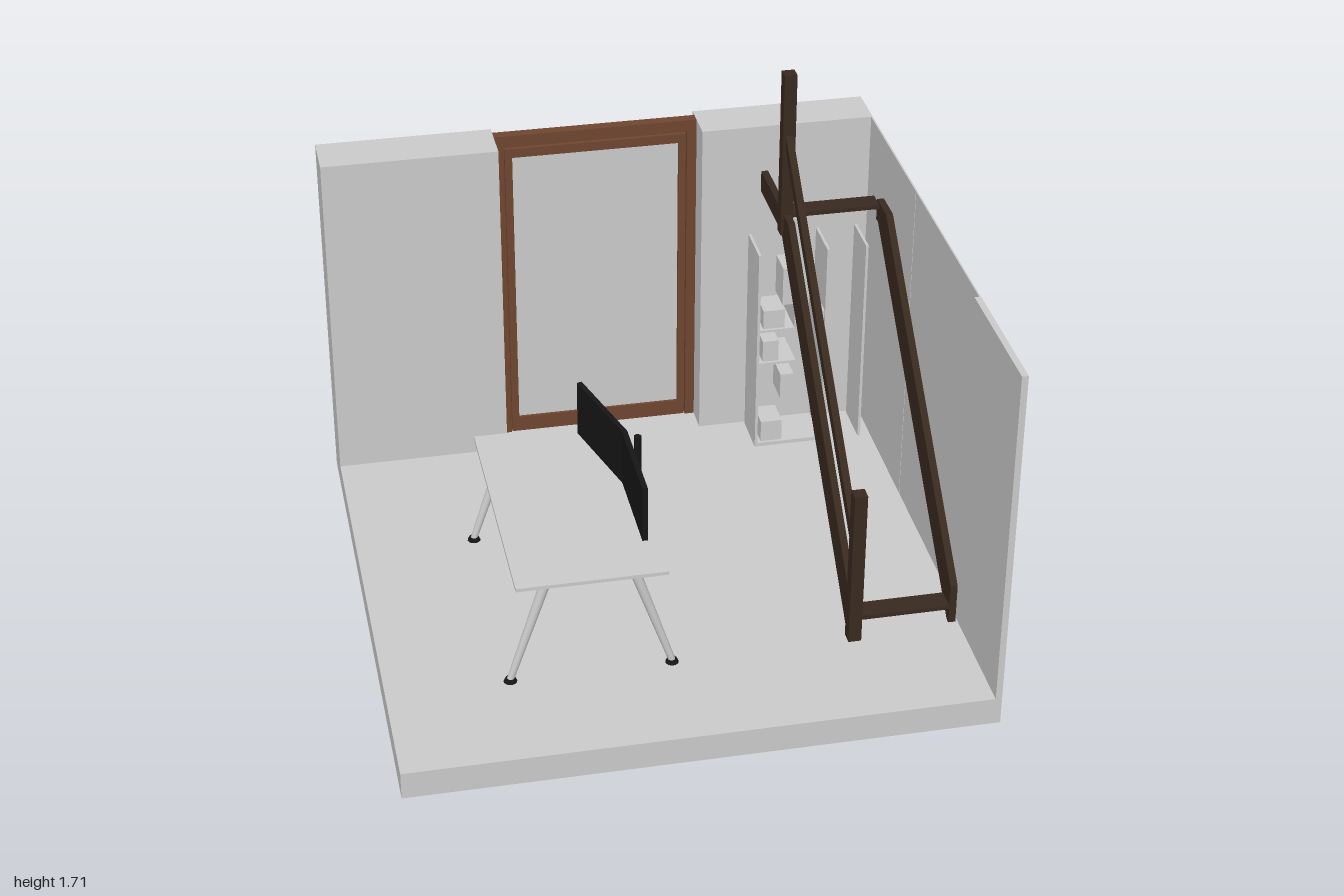
import * as THREE from 'three';

const mat = (color) => new THREE.MeshStandardMaterial({ color });

export function createModel() {
  const root = new THREE.Group();
  const grey = mat(0xcccccc), doorWood = mat(0x6f4630), darkWood = mat(0x38291f), black = mat(0x161616);

  const add = (parent, name, geometry, material) => {
    const mesh = new THREE.Mesh(geometry, material);
    mesh.name = name;
    parent.add(mesh);
    return mesh;
  };
  const group = (name) => {
    const g = new THREE.Group();
    g.name = name;
    root.add(g);
    return g;
  };
  // Box given by its limits on each axis
  const box = (parent, name, material, [x0, x1], [y0, y1], [z0, z1]) => {
    const mesh = add(parent, name, new THREE.BoxGeometry(x1 - x0, y1 - y0, z1 - z0), material);
    mesh.position.set((x0 + x1) / 2, (y0 + y1) / 2, (z0 + z1) / 2);
    return mesh;
  };
  // Side profile of [z, y] points, extruded from x0 to x1
  const sidePlate = (parent, name, material, points, x0, x1) => {
    const shape = new THREE.Shape(points.map(([z, y]) => new THREE.Vector2(z, y)));
    const geometry = new THREE.ExtrudeGeometry(shape, { depth: x1 - x0, bevelEnabled: false });
    geometry.rotateY(-Math.PI / 2).translate(x1, 0, 0);
    return add(parent, name, geometry, material);
  };
  // Tapered round bar between two points
  const bar = (parent, name, material, from, to, r0, r1) => {
    const a = new THREE.Vector3(...from), b = new THREE.Vector3(...to);
    const mesh = add(parent, name, new THREE.CylinderGeometry(r1, r0, a.distanceTo(b), 16), material);
    mesh.position.copy(a).add(b).multiplyScalar(0.5);
    mesh.quaternion.setFromUnitVectors(new THREE.Vector3(0, 1, 0), b.sub(a).normalize());
    return mesh;
  };

  // Room shell
  const room = group('room');
  box(room, 'floor', grey, [-1, 1], [0, 0.1], [-1, 1]);
  box(room, 'backWallRight', grey, [-1, -0.37], [0.1, 1.35], [-1, -0.82]);
  box(room, 'backWallLeft', grey, [0.37, 1], [0.1, 1.35], [-1, -0.83]);
  box(room, 'sideWallFront', grey, [0.978, 1], [0.1, 1.35], [0.5, 1]);
  box(room, 'sideWallMiddle', grey, [0.994, 0.999], [0.1, 1.35], [-0.238, 0.5]);
  box(room, 'sideWallBack', grey, [0.994, 1], [0.1, 1.35], [-1, -0.242]);

  // Door: outer jamb, inner leaf frame and panel
  const door = group('door');
  for (const s of [-1, 1]) {
    const span = (a, b) => (s > 0 ? [a, b] : [-b, -a]);
    box(door, 'jamb', doorWood, span(0.335, 0.37), [0.1, 1.35], [-0.97, -0.93]);
    box(door, 'leafStile', doorWood, span(0.305, 0.332), [0.1, 1.295], [-0.965, -0.935]);
  }
  box(door, 'doorHead', doorWood, [-0.335, 0.335], [1.305, 1.35], [-0.97, -0.93]);
  box(door, 'leafTopRail', doorWood, [-0.305, 0.305], [1.26, 1.295], [-0.965, -0.935]);
  box(door, 'leafBottomRail', doorWood, [-0.305, 0.305], [0.1, 0.16], [-0.965, -0.935]);
  box(door, 'doorPanel', grey, [-0.305, 0.305], [0.16, 1.26], [-0.954, -0.946]);

  // Staircase along the side wall
  const stairs = group('staircase');
  const stringer = (backEnd) => [
    [0.54, 0.1], [0.56, 0.1], [0.56, 0.25], [-0.42, 1.17],
    [backEnd, 1.17], [backEnd, 1.09], [-0.515, 1.09],
  ];
  sidePlate(stairs, 'outerStringer', darkWood, stringer(-0.83), 0.59, 0.615);
  sidePlate(stairs, 'wallStringer', darkWood, stringer(-0.54), 0.945, 0.97);
  box(stairs, 'bottomTread', darkWood, [0.615, 0.945], [0.155, 0.17], [0.48, 0.56]);
  box(stairs, 'topTread', darkWood, [0.615, 0.945], [1.148, 1.163], [-0.58, -0.505]);
  box(stairs, 'frontPost', darkWood, [0.58, 0.625], [0.1, 0.69], [0.555, 0.602]);
  box(stairs, 'backPost', darkWood, [0.58, 0.625], [1.09, 1.71], [-0.533, -0.486]);
  sidePlate(stairs, 'handrail', darkWood,
    [[0.56, 0.44], [0.56, 0.5], [-0.49, 1.485], [-0.49, 1.43]], 0.59, 0.615);

  // Shelf unit beneath the stairs, with its contents
  const shelf = group('shelfUnit');
  const depth = [-0.82, -0.65];
  for (const x of [0.545, 0.8, 0.945]) box(shelf, 'upright', grey, [x, x + 0.01], [0.1, 0.92], depth);
  box(shelf, 'base', grey, [0.545, 0.81], [0.1, 0.115], depth);
  box(shelf, 'divider', grey, [0.685, 0.693], [0.6, 0.92], depth);
  box(shelf, 'shelfBoard', grey, [0.555, 0.693], [0.595, 0.605], depth);
  box(shelf, 'shelfBoard', grey, [0.555, 0.693], [0.455, 0.465], depth);
  const goods = [
    [0.57, 0.65, 0.605, 0.68], [0.64, 0.685, 0.7, 0.85], [0.57, 0.63, 0.465, 0.55],
    [0.64, 0.69, 0.3, 0.4], [0.57, 0.65, 0.115, 0.2], [0.77, 0.8, 0.56, 0.66],
  ];
  for (const [x0, x1, y0, y1] of goods) {
    box(shelf, 'storedItem', grey, [x0, x1], [y0, y1], [-0.77, -0.66]);
  }

  // Desk with splayed legs
  const desk = group('desk');
  box(desk, 'deskTop', grey, [-0.56, -0.05], [0.492, 0.505], [-0.3, 0.635]);
  for (const z of [-0.25, 0.59]) {
    box(desk, 'crossRail', grey, [-0.48, -0.13], [0.478, 0.492], [z - 0.015, z + 0.015]);
    for (const s of [-1, 1]) {
      const foot = -0.305 + s * 0.275, top = -0.305 + s * 0.15;
      bar(desk, 'deskLeg', grey, [foot, 0.108, z], [top, 0.485, z], 0.012, 0.018);
      bar(desk, 'deskFoot', black, [foot, 0.1, z], [foot, 0.113, z], 0.023, 0.017);
    }
  }

  // Two screens meeting at the pole
  const screens = group('screens');
  bar(screens, 'screenPole', black, [-0.076, 0.505, 0.23], [-0.076, 0.78, 0.23], 0.013, 0.013);
  box(screens, 'frontScreen', black, [-0.129, -0.111], [0.6, 0.805], [0.23, 0.58]);
  const angled = add(screens, 'angledScreen', new THREE.BoxGeometry(0.018, 0.205, 0.35), black);
  angled.position.set(-0.167, 0.7025, 0.062);
  angled.rotation.y = Math.atan2(0.095, 0.34);

  return root;
}
